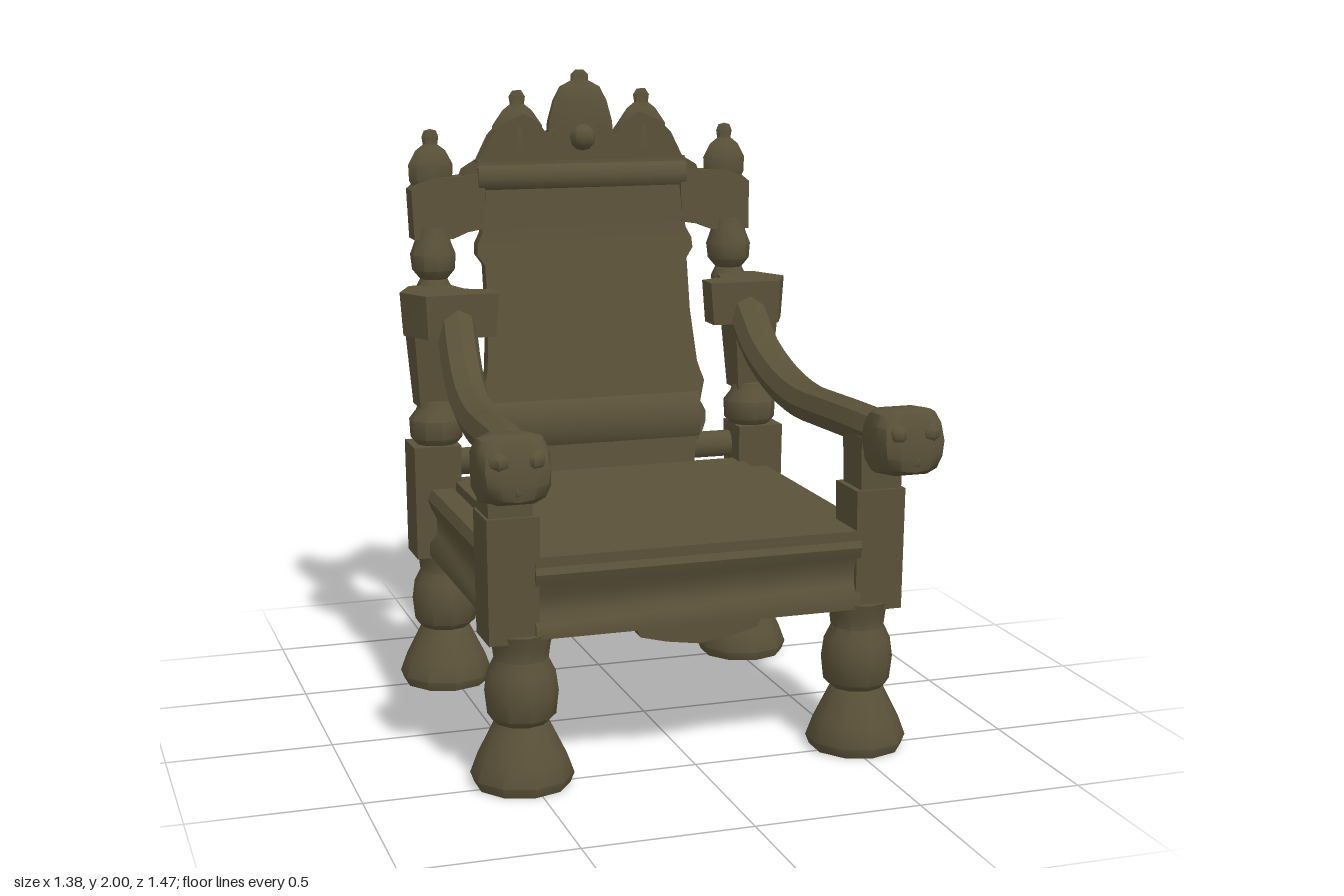
import * as THREE from 'three';
import { toCreasedNormals } from 'three/addons/utils/BufferGeometryUtils.js';

const wood = new THREE.MeshStandardMaterial({ color: 0x5a5138 });
wood.name = 'darkWood';

// linear interpolation through [key, value] pairs
function lerpTable(table, k) {
  if (k <= table[0][0]) return table[0][1];
  for (let i = 1; i < table.length; i++) {
    const [a, va] = table[i - 1], [b, vb] = table[i];
    if (k <= b) return va + (vb - va) * (k - a) / (b - a);
  }
  return table[table.length - 1][1];
}

function warp(geo, rule) {
  const p = geo.attributes.position, v = new THREE.Vector3();
  for (let i = 0; i < p.count; i++) {
    v.fromBufferAttribute(p, i);
    rule(v);
    p.setXYZ(i, v.x, v.y, v.z);
  }
  return geo;
}

function add(parent, name, geo, x = 0, y = 0, z = 0, crease = 0.75) {
  geo.computeVertexNormals();
  const mesh = new THREE.Mesh(toCreasedNormals(geo, crease), wood);
  mesh.name = name;
  mesh.position.set(x, y, z);
  parent.add(mesh);
  return mesh;
}

const turned = (pts, sides = 10) =>
  new THREE.LatheGeometry(pts.map(([r, y]) => new THREE.Vector2(r, y)), sides);

// box given by its limits, with optional narrowing towards the bottom
function block(x0, x1, y0, y1, z0, z1, taper = 1) {
  const g = new THREE.BoxGeometry(x1 - x0, y1 - y0, z1 - z0);
  warp(g, v => { if (v.y < 0) { v.x *= taper; v.z *= taper; } });
  return g.translate((x0 + x1) / 2, (y0 + y1) / 2, (z0 + z1) / 2);
}

function outline(points, depth) {
  return new THREE.ExtrudeGeometry(
    new THREE.Shape(points.map(p => new THREE.Vector2(p[0], p[1]))),
    { depth, bevelEnabled: false });
}

// moulded rail running along x, its face towards +z at z = 0
function rail(length) {
  const profile = [[-0.08, 0.45], [0, 0.45], [0, 0.49], [-0.025, 0.52], [-0.025, 0.57],
    [-0.005, 0.61], [0.005, 0.64], [-0.01, 0.67], [-0.08, 0.67]];
  return outline(profile, length).translate(0, 0, -length / 2).rotateY(-Math.PI / 2)
    .scale(1, 1, 1);
}

// lean of the back: depth at each height
const lean = [[0.66, -0.515], [0.9, -0.54], [1.2, -0.6], [1.46, -0.655], [1.7, -0.685], [2, -0.7]];

function buildSide() {
  const side = new THREE.Group();

  // legs with flared feet and square posts
  const leg = [[0, 0], [0.14, 0], [0.152, 0.03], [0.13, 0.09], [0.095, 0.16], [0.08, 0.19],
    [0.1, 0.21], [0.108, 0.28], [0.1, 0.34], [0.08, 0.38], [0.085, 0.42], [0.095, 0.46], [0, 0.46]];
  add(side, 'frontLeg', turned(leg), 0.525, 0, 0.475);
  add(side, 'backLeg', turned(leg), 0.525, 0, -0.52);
  add(side, 'frontPost', block(0.485, 0.64, 0.44, 0.81, 0.39, 0.55, 0.95));
  add(side, 'backPost', block(0.48, 0.635, 0.44, 0.81, -0.59, -0.435, 0.95));

  // arm support and armrest
  add(side, 'armSupport', block(0.5, 0.635, 0.8, 0.97, 0.4, 0.54, 0.95));
  const path = new THREE.CatmullRomCurve3([[0.575, 0.985, 0.62], [0.55, 0.99, 0.42], [0.54, 0.985, 0.2],
    [0.53, 0.985, 0.03], [0.52, 1.02, -0.15], [0.505, 1.1, -0.31], [0.495, 1.2, -0.41],
    [0.49, 1.25, -0.47]].map(p => new THREE.Vector3(...p)));
  add(side, 'armrest', new THREE.TubeGeometry(path, 20, 0.064, 8, false));

  // carved scroll at the arm end
  const hand = new THREE.BoxGeometry(0.2, 0.19, 0.19, 4, 4, 4);
  warp(hand, v => {
    const edge = Math.hypot(v.x / 0.1, v.y / 0.095, v.z / 0.095);
    v.multiplyScalar(edge > 1.3 ? 1.3 / edge : 1.02);
  });
  add(side, 'armScroll', hand.rotateX(-0.12), 0.59, 0.975, 0.63, 0.6);
  for (const [x, y] of [[0.54, 1.01], [0.64, 1.01], [0.59, 0.93]])
    add(side, 'scrollBump', new THREE.SphereGeometry(0.035, 7, 5), x, y, 0.7);

  // turned knob, tapered upright and capital
  add(side, 'backKnob', turned([[0, 0.79], [0.06, 0.8], [0.085, 0.83], [0.088, 0.89],
    [0.065, 0.92], [0.055, 0.95], [0, 0.96]]), 0.545, 0, -0.515);
  add(side, 'backUpright', block(0.47, 0.625, 0.93, 1.21, -0.615, -0.455, 0.72));
  const capital = outline([[0.36, 0.39], [0.6, 0.38], [0.66, 0.5], [0.6, 0.64],
    [0.47, 0.64], [0.44, 0.52], [0.36, 0.48]], 0.14).rotateX(-Math.PI / 2);
  warp(capital, v => { if (v.y < 0.05) v.x = 0.52 + (v.x - 0.52) * 0.93; });
  add(side, 'capital', capital, 0, 1.17, 0);

  // upper upright with turned ball
  const upper = turned([[0, 1.17], [0.05, 1.18], [0.06, 1.3], [0.045, 1.33], [0.07, 1.36],
    [0.075, 1.41], [0.06, 1.45], [0.05, 1.5]]);
  warp(upper, v => { v.z += -0.64 - (v.y - 1.17) * 0.06; });
  add(side, 'upperUpright', upper, 0.515, 0, 0);

  // corner block and finial
  const corner = outline([[0.34, 1.49], [0.4, 1.48], [0.45, 1.46], [0.58, 1.46], [0.585, 1.62],
    [0.56, 1.64], [0.5, 1.66], [0.42, 1.66], [0.34, 1.67]], 0.085);
  warp(corner, v => { v.z += -0.715 - (v.y - 1.46) * 0.08; });
  add(side, 'cornerBlock', corner);
  const finial = turned([[0.05, 1.6], [0.072, 1.65], [0.074, 1.7], [0.05, 1.745],
    [0.024, 1.765], [0.028, 1.79], [0.02, 1.81], [0, 1.815]], 8).scale(1, 1, 0.6);
  add(side, 'cornerFinial', finial, 0.51, 0, -0.69);

  // side rail of the seat
  add(side, 'sideRail', rail(0.86).rotateY(Math.PI / 2), 0.59, 0, -0.02);

  // crest finials
  add(side, 'crestFinial', turned([[0.09, 1.74], [0.085, 1.82], [0.05, 1.87], [0.024, 1.89],
    [0.028, 1.915], [0.015, 1.935], [0, 1.935]], 8).scale(1, 1, 0.42), 0.215, 0, -0.695);
  return side;
}

export function createModel() {
  const chair = new THREE.Group();
  chair.name = 'carvedArmchair';

  const left = buildSide();
  left.name = 'leftSide';
  chair.add(left);

  // mirror the side, reversing corner order so faces stay outward
  const right = new THREE.Group();
  right.name = 'rightSide';
  for (const part of left.children) {
    const g = part.geometry.clone().scale(-1, 1, 1);
    for (const attr of [g.attributes.position, g.attributes.normal]) {
      const a = attr.array;
      for (let i = 0; i < a.length; i += 9)
        for (let k = 3; k < 6; k++) [a[i + k], a[i + k + 3]] = [a[i + k + 3], a[i + k]];
    }
    const mesh = new THREE.Mesh(g, wood);
    mesh.name = part.name;
    mesh.position.set(-part.position.x, part.position.y, part.position.z);
    right.add(mesh);
  }
  chair.add(right);

  // seat board, front and back rails, carved apron
  add(chair, 'seat', block(-0.5, 0.5, 0.63, 0.69, -0.5, 0.55));
  add(chair, 'frontRail', rail(1), 0, 0, 0.555);
  add(chair, 'backRail', rail(1).rotateY(Math.PI), 0, 0, -0.57);
  add(chair, 'apron', outline([[-0.2, 0.46], [-0.18, 0.42], [-0.1, 0.4], [0, 0.385],
    [0.1, 0.4], [0.18, 0.42], [0.2, 0.46]], 0.05), 0, 0, 0.48);

  // leaning back panel with scalloped sides
  const halfWidth = [[0.69, 0.34], [0.76, 0.35], [0.81, 0.385], [0.88, 0.385], [0.9, 0.36],
    [0.95, 0.39], [1.02, 0.365], [1.2, 0.35], [1.37, 0.35], [1.42, 0.385], [1.46, 0.355],
    [1.6, 0.335], [1.7, 0.36]];
  const panel = new THREE.BoxGeometry(2, 1.02, 0.05, 4, 30, 1);
  warp(panel, v => {
    v.y += 1.2;
    v.x *= lerpTable(halfWidth, v.y);
    v.z += lerpTable(lean, v.y);
  });
  add(chair, 'backPanel', panel);

  // rolls across the bottom and top of the panel
  const roll = (name, half, y, z, ry, rz) =>
    add(chair, name, new THREE.CylinderGeometry(1, 1, half * 2, 10).rotateZ(Math.PI / 2)
      .scale(1, ry, rz), 0, y, z);
  roll('lowerRoll', 0.36, 0.84, -0.53, 0.09, 0.045);
  roll('lowerBar', 0.49, 0.735, -0.54, 0.045, 0.035);
  roll('upperRoll', 0.36, 1.65, -0.685, 0.055, 0.05);

  // crest silhouette
  const half = [[0.42, 1.62], [0.4, 1.68], [0.35, 1.71], [0.31, 1.79], [0.27, 1.83],
    [0.2, 1.86], [0.15, 1.83], [0.12, 1.79], [0.08, 1.82]];
  const crest = outline([...half, ...half.map(([x, y]) => [-x, y]).reverse()], 0.07);
  add(chair, 'crest', crest, 0, 0, -0.73);
  add(chair, 'centreFinial', turned([[0.12, 1.76], [0.115, 1.83], [0.095, 1.9], [0.07, 1.945],
    [0.03, 1.965], [0.03, 1.985], [0.015, 2], [0, 2]]).scale(1, 1, 0.35), 0, 0, -0.695);
  add(chair, 'crestBoss', new THREE.SphereGeometry(0.045, 8, 6), 0, 1.78, -0.66);
  return chair;
}
